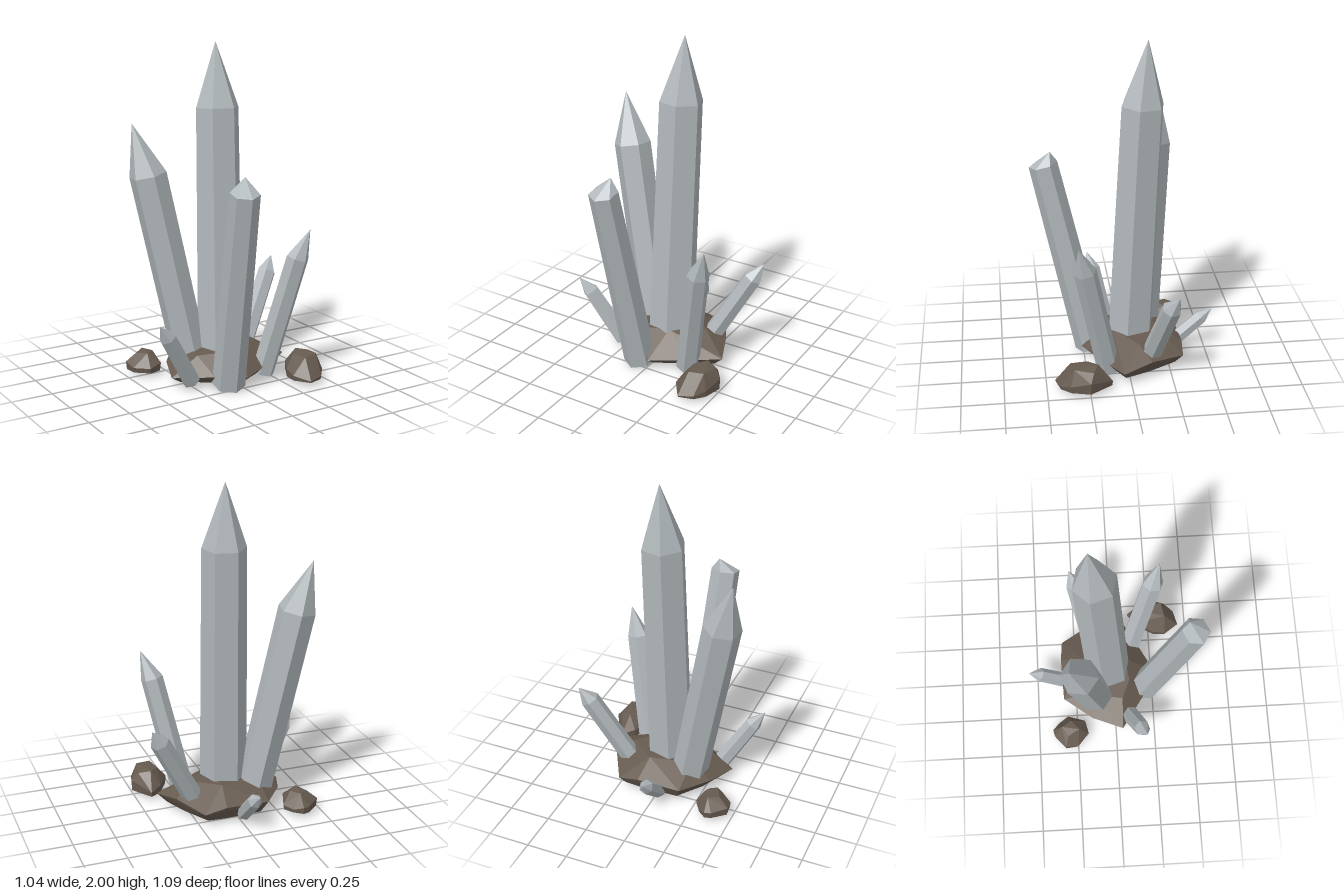
import * as THREE from 'three';
import { ConvexGeometry } from 'three/addons/geometries/ConvexGeometry.js';

const V = (p) => new THREE.Vector3(...p);

// Six-sided ring around a centre, square to the axis; phase is the compass angle of the first corner
function ring(center, axis, radius, phase) {
  const turn = new THREE.Quaternion().setFromUnitVectors(new THREE.Vector3(0, 1, 0), axis);
  return Array.from({ length: 6 }, (_, i) => {
    const a = THREE.MathUtils.degToRad(phase + i * 60);
    const p = new THREE.Vector3(Math.cos(a) * radius, 0, Math.sin(a) * radius);
    p.applyQuaternion(turn).add(center);
    p.y = Math.max(p.y, 0);
    return p;
  });
}

// Leaning prism from base to shoulder, closed by a pointed tip
function crystalGeometry({ base, shoulder, tip, r0, r1, phase }) {
  const b = V(base), s = V(shoulder);
  const axis = s.clone().sub(b).normalize();
  return new ConvexGeometry([...ring(b, axis, r0, phase), ...ring(s, axis, r1, phase), V(tip)]);
}

// Faceted stone: footprint [x, z, height of the widest point], cut flat below, with a few crown points
function rockGeometry(outline, crown, shrink) {
  const cx = outline.reduce((t, p) => t + p[0], 0) / outline.length;
  const cz = outline.reduce((t, p) => t + p[1], 0) / outline.length;
  const points = crown.map(V);
  for (const [x, z, y] of outline) {
    points.push(V([x, y, z]));
    points.push(V([cx + (x - cx) * shrink, 0.03, cz + (z - cz) * shrink]));
  }
  return new ConvexGeometry(points);
}

const crystals = {
  mainCrystal: { base: [0.01, 0.1, -0.03], shoulder: [0.03, 1.62, -0.1], tip: [0.035, 2, -0.13], r0: 0.143, r1: 0.13, phase: 13 },
  tallLeftCrystal: { base: [-0.145, 0.08, -0.115], shoulder: [-0.375, 1.24, -0.21], tip: [-0.45, 1.54, -0.26], r0: 0.11, r1: 0.112, phase: 158 },
  frontBluntCrystal: { base: [-0.075, 0.025, 0.2], shoulder: [-0.135, 1.22, 0.465], tip: [-0.11, 1.305, 0.425], r0: 0.098, r1: 0.086, phase: 93 },
  rightFrontCrystal: { base: [0.215, 0.025, 0.12], shoulder: [0.36, 0.75, 0.265], tip: [0.42, 0.92, 0.305], r0: 0.07, r1: 0.067, phase: 20 },
  rightBackCrystal: { base: [0.2, 0.05, -0.12], shoulder: [0.465, 0.54, -0.22], tip: [0.52, 0.63, -0.255], r0: 0.062, r1: 0.058, phase: 10 },
  smallLeftCrystal: { base: [-0.265, 0.05, 0.09], shoulder: [-0.455, 0.365, 0.158], tip: [-0.52, 0.45, 0.185], r0: 0.056, r1: 0.05, phase: 40 },
  smallBackCrystal: { base: [-0.02, 0.05, -0.3], shoulder: [-0.02, 0.21, -0.48], tip: [-0.025, 0.26, -0.545], r0: 0.047, r1: 0.044, phase: 20 },
};

const rocks = {
  baseRock: {
    outline: [[-0.37, 0.045, 0.07], [-0.3, -0.15, 0.1], [-0.165, -0.33, 0.11], [0.1, -0.34, 0.12], [0.23, -0.33, 0.09],
      [0.34, -0.13, 0.12], [0.41, 0.045, 0.09], [0.25, 0.14, 0.08], [0.02, 0.265, 0.07], [-0.16, 0.19, 0.08]],
    crown: [[-0.2, 0.18, 0.05], [-0.17, 0.19, -0.14], [0.08, 0.2, -0.2], [0.24, 0.19, -0.06], [0.06, 0.205, 0.08], [-0.08, 0.19, 0.1]],
    shrink: 0.84,
  },
  frontRock: {
    outline: [[0.42, 0.115, 0.06], [0.51, 0.25, 0.1], [0.48, 0.365, 0.07], [0.43, 0.425, 0.05], [0.34, 0.45, 0.04],
      [0.275, 0.36, 0.06], [0.28, 0.28, 0.08], [0.35, 0.16, 0.08]],
    crown: [[0.36, 0.16, 0.36], [0.45, 0.165, 0.34], [0.47, 0.15, 0.23], [0.4, 0.165, 0.2], [0.34, 0.155, 0.26]],
    shrink: 0.97,
  },
  backRock: {
    outline: [[-0.36, -0.41, 0.07], [-0.4, -0.4, 0.07], [-0.48, -0.33, 0.08], [-0.47, -0.25, 0.06], [-0.39, -0.18, 0.06],
      [-0.31, -0.2, 0.08], [-0.27, -0.31, 0.06], [-0.31, -0.37, 0.05]],
    crown: [[-0.42, 0.13, -0.31], [-0.36, 0.14, -0.35], [-0.32, 0.135, -0.29], [-0.38, 0.14, -0.24]],
    shrink: 0.95,
  },
};

export function createModel() {
  const group = new THREE.Group();
  group.name = 'crystalCluster';
  const crystalGrey = new THREE.MeshStandardMaterial({ color: 0xb1b8bb });
  crystalGrey.name = 'crystalGrey';
  const rockBrown = new THREE.MeshStandardMaterial({ color: 0x675b50 });
  rockBrown.name = 'rockBrown';

  const add = (name, geometry, material) => {
    const mesh = new THREE.Mesh(geometry, material);
    mesh.name = name;
    group.add(mesh);
  };
  for (const [name, c] of Object.entries(crystals)) add(name, crystalGeometry(c), crystalGrey);
  for (const [name, r] of Object.entries(rocks)) add(name, rockGeometry(r.outline, r.crown, r.shrink), rockBrown);
  return group;
}
